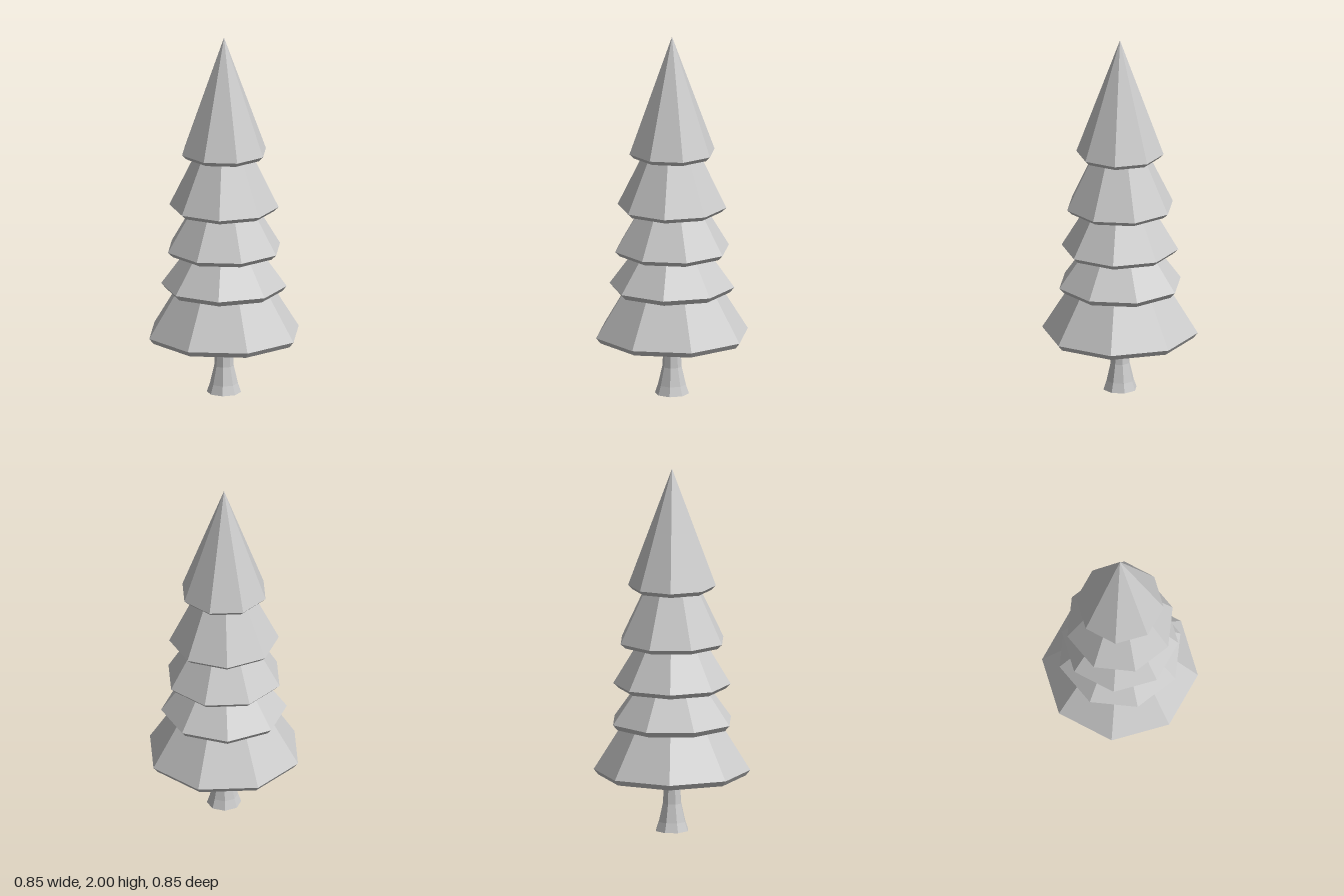
import * as THREE from 'three';

const SIDES = 8;

// Faceted octagonal solid turned from a profile running bottom to top.
function turned(name, profile, material, twist) {
  const points = profile.map(([r, y]) => new THREE.Vector2(r, y));
  const mesh = new THREE.Mesh(new THREE.LatheGeometry(points, SIDES), material);
  mesh.name = name;
  mesh.rotation.y = twist;
  return mesh;
}

export function createModel() {
  const tree = new THREE.Group();
  tree.name = 'pineTree';
  const material = new THREE.MeshStandardMaterial({ color: 0xcccccc, flatShading: true });
  const halfStep = Math.PI / SIDES;

  // Trunk, flared at the foot
  tree.add(turned('trunk', [
    [0, 0], [0.093, 0], [0.076, 0.05], [0.053, 0.15], [0.044, 0.3], [0.042, 0.42],
  ], material, halfStep));

  // Branch tiers, bottom to top: lip radius and height, rim radius and height,
  // radius and height where the tier above begins
  const tiers = [
    [0.40, 0.305, 0.424, 0.335, 0.275, 0.575],
    [0.315, 0.575, 0.341, 0.605, 0.21, 0.785],
    [0.29, 0.785, 0.318, 0.812, 0.19, 1.025],
    [0.27, 1.025, 0.297, 1.05, 0.16, 1.33],
    [0.212, 1.33, 0.238, 1.355, 0, 2],
  ];

  tiers.forEach(([lipR, lipY, rimR, rimY, topR, topY], i) => {
    // Hollowed underside, sloping lip, then the skirt
    const profile = [[0, lipY + lipR * 0.19], [lipR, lipY], [rimR, rimY], [topR, topY]];
    if (topR > 0) {
      // Carry the skirt on up inside the next tier
      const slope = (rimR - topR) / (topY - rimY);
      profile.push([topR - slope * 0.07, topY + 0.07]);
    }
    tree.add(turned(`branchTier${i + 1}`, profile, material, i % 2 ? halfStep : 0));
  });

  return tree;
}
